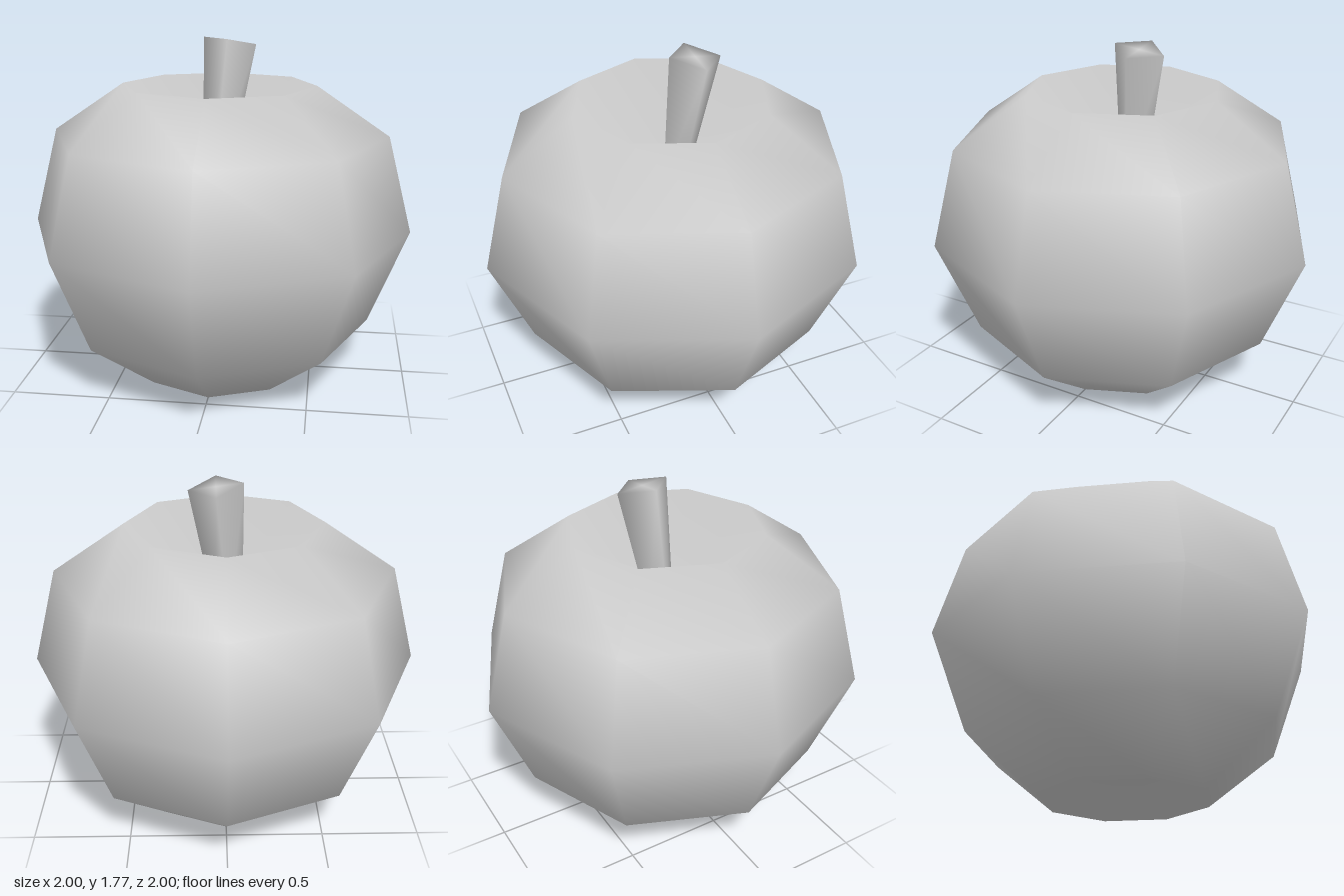
import * as THREE from 'three';
import { mergeVertices } from 'three/addons/utils/BufferGeometryUtils.js';

export function createModel() {
  const group = new THREE.Group();
  const grey = new THREE.MeshStandardMaterial({ color: 0xcccccc });
  grey.name = 'light grey';

  // Merge corners so the shading runs smoothly over every edge
  const smooth = (geometry) => {
    geometry.deleteAttribute('uv');
    geometry.deleteAttribute('normal');
    const merged = mergeVertices(geometry, 1e-4);
    merged.computeVertexNormals();
    return merged;
  };

  // Eight-sided fruit with a dimple below and a deep hollow on top
  const profile = [
    [0, 0.22], [0.43, 0], [0.8, 0.29], [1, 0.79],
    [0.87, 1.29], [0.5, 1.54], [0, 1.12],
  ].map(([r, y]) => new THREE.Vector2(r, y));
  const fruit = new THREE.Mesh(smooth(new THREE.LatheGeometry(profile, 8)), grey);
  fruit.name = 'fruit';
  group.add(fruit);

  // Four-sided stem, leaning right and back, with a slanted top
  const topRadius = 0.135, bottomY = 1.08, topY = 1.7525;
  const stemGeometry = new THREE.CylinderGeometry(topRadius, 0.07, 1, 4);
  const p = stemGeometry.attributes.position;
  for (let i = 0; i < p.count; i++) {
    const x = p.getX(i), z = p.getZ(i), t = p.getY(i) + 0.5;
    const slant = -0.0175 * t * (x - z) / topRadius;
    p.setXYZ(
      i,
      x + THREE.MathUtils.lerp(-0.02, 0.044, t),
      THREE.MathUtils.lerp(bottomY, topY, t) + slant,
      z + THREE.MathUtils.lerp(-0.035, -0.104, t),
    );
  }
  const stem = new THREE.Mesh(smooth(stemGeometry), grey);
  stem.name = 'stem';
  group.add(stem);

  return group;
}
